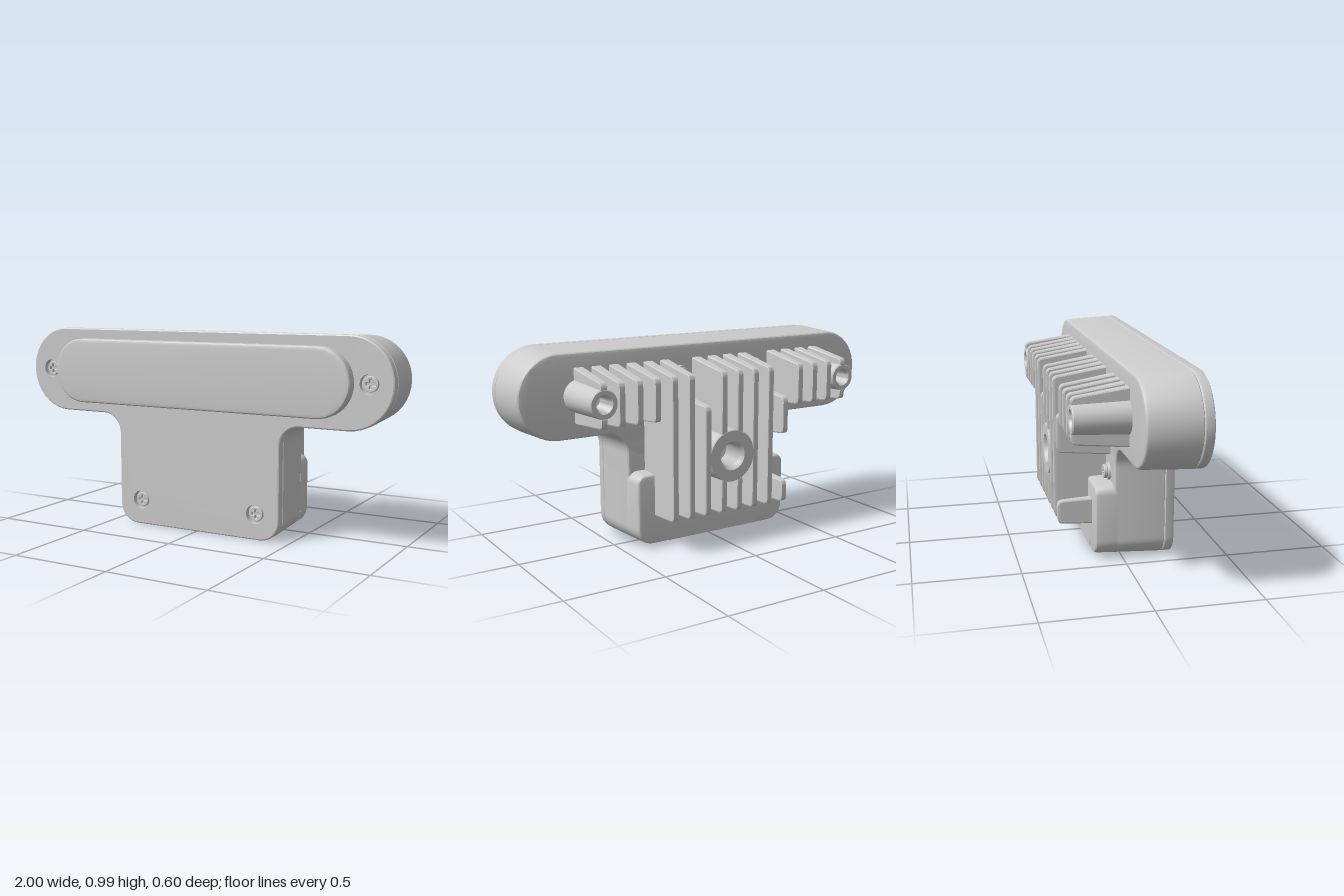
import * as THREE from 'three';
import { toCreasedNormals } from 'three/addons/utils/BufferGeometryUtils.js';

const PI = Math.PI;
const material = new THREE.MeshStandardMaterial({ color: 0xcccccc });
const twoSided = new THREE.MeshStandardMaterial({ color: 0xcccccc, side: THREE.DoubleSide });

function add(parent, name, geometry, x = 0, y = 0, z = 0, mat = material) {
  const mesh = new THREE.Mesh(geometry, mat);
  mesh.name = name;
  mesh.position.set(x, y, z);
  parent.add(mesh);
  return mesh;
}

// points along an arc, clockwise or counter-clockwise
function arc(cx, cy, r, a0, a1, n = 12) {
  return Array.from({ length: n + 1 }, (_, i) => {
    const a = a0 + (a1 - a0) * i / n;
    return new THREE.Vector2(cx + r * Math.cos(a), cy + r * Math.sin(a));
  });
}

// outlines, each inset by d
const pill = (cx, r) => d => [
  ...arc(cx, 0.775, r - d, -PI / 2, PI / 2, 20),
  ...arc(-cx, 0.775, r - d, PI / 2, 1.5 * PI, 20)];

const notch = d => [[-0.27, d], [-0.27, 0.08], [0.27, 0.08], [0.27, d]].map(p => new THREE.Vector2(...p));

const tee = withNotch => d => [
  ...arc(-0.35, 0.1, 0.1 - d, PI, 1.5 * PI),
  ...(withNotch ? notch(d) : []),
  ...arc(0.35, 0.1, 0.1 - d, -PI / 2, 0),
  ...arc(0.55, 0.46, 0.1 + d, PI, PI / 2),
  ...arc(0.785, 0.775, 0.215 - d, -PI / 2, PI / 2, 20),
  ...arc(-0.785, 0.775, 0.215 - d, PI / 2, 1.5 * PI, 20),
  ...arc(-0.55, 0.46, 0.1 + d, PI / 2, 0)];

const stepOutline = d => [
  ...arc(-0.35, 0.1, 0.1 - d, PI, 1.5 * PI),
  ...notch(d),
  ...arc(0.35, 0.1, 0.1 - d, -PI / 2, 0),
  ...arc(0.39, 0.325, 0.06 - d, 0, PI / 2, 6),
  ...arc(-0.39, 0.325, 0.06 - d, PI / 2, PI, 6)];

// skin an outline through levels [z, inset], front to back, with capped ends
function loft(outline, levels, holes = []) {
  const pos = [];
  const put = (p, z) => pos.push(p.x, p.y, z);
  const rings = levels.map(([, d]) => outline(d));
  for (let k = 0; k < levels.length - 1; k++) {
    const [za, zb] = [levels[k][0], levels[k + 1][0]];
    const [a, b] = [rings[k], rings[k + 1]];
    for (let i = 0; i < a.length; i++) {
      const j = (i + 1) % a.length;
      put(a[i], za); put(b[i], zb); put(b[j], zb);
      put(a[i], za); put(b[j], zb); put(a[j], za);
    }
  }
  const cap = (ring, z, cuts, flip) => {
    const all = [ring, ...cuts].flat();
    for (const f of THREE.ShapeUtils.triangulateShape(ring, cuts)) {
      const [p, q, r] = f.map(i => all[i]);
      const ccw = (q.x - p.x) * (r.y - p.y) - (q.y - p.y) * (r.x - p.x) > 0;
      (ccw !== flip ? [p, q, r] : [p, r, q]).forEach(v => put(v, z));
    }
  };
  cap(rings[0], levels[0][0], holes, false);
  cap(rings.at(-1), levels.at(-1)[0], [], true);
  const g = new THREE.BufferGeometry();
  g.setAttribute('position', new THREE.Float32BufferAttribute(pos, 3));
  return toCreasedNormals(g, 0.4);
}

// cooling fin: rounded tip corners, thinner towards the tip
function fin(parent, x, y0, y1, d0 = 0.02, d1 = 0.04, name = 'coolingFin') {
  const s = new THREE.Shape(), tip = 0.3, r = 0.03;
  s.moveTo(0.03, y0);
  s.lineTo(tip - r, y0 + d0);
  s.quadraticCurveTo(tip, y0 + d0, tip, y0 + d0 + r);
  s.lineTo(tip, y1 - d1 - r);
  s.quadraticCurveTo(tip, y1 - d1, tip - r, y1 - d1);
  s.lineTo(0.03, y1);
  const g = new THREE.ExtrudeGeometry(s, {
    depth: 0.84, curveSegments: 5, bevelEnabled: true, bevelSize: 0.006,
    bevelOffset: -0.006, bevelThickness: 0.08, bevelSegments: 1 });
  g.translate(0, 0, -0.42);
  const p = g.attributes.position;
  for (let i = 0; i < p.count; i++) {
    const t = (p.getX(i) - 0.03) / 0.27;
    p.setZ(i, p.getZ(i) * (0.052 - 0.02 * t));
  }
  g.rotateY(PI / 2);
  add(parent, name, toCreasedNormals(g, 0.4), x);
}

// round post with a threaded blind hole
function threadedBoss(parent, name, x, y, rRoot, rTip, hole, depth) {
  const pts = [[rRoot, 0.03], [rTip, 0.295], [rTip - 0.005, 0.3], [hole + 0.006, 0.3], [hole, 0.294]];
  const turns = 6, pitch = (depth - 0.01) / turns;
  for (let i = 0; i < turns; i++) {
    pts.push([hole * 0.84, 0.29 - (i + 0.5) * pitch], [hole, 0.29 - (i + 1) * pitch]);
  }
  pts.push([0, 0.29 - depth]);
  const g = new THREE.LatheGeometry(pts.map(p => new THREE.Vector2(...p)), 32);
  g.rotateX(-PI / 2);
  add(parent, name, toCreasedNormals(g, 0.5), x, y, 0);
}

// screw head with a cross recess, facing +z
function screw(parent, name, r, x, y, z, back = false) {
  const group = new THREE.Group();
  group.name = name;
  const head = new THREE.Shape(arc(0, 0, r, 0, 2 * PI, 24).slice(0, -1));
  const a = r * 0.62, b = r * 0.17;
  head.holes.push(new THREE.Path([[a, b], [b, b], [b, a], [-b, a], [-b, b], [-a, b], [-a, -b], [-b, -b],
    [-b, -a], [b, -a], [b, -b], [a, -b]].map(p => new THREE.Vector2(...p))));
  add(group, 'screwHead', new THREE.ExtrudeGeometry(head, {
    depth: 0.012, bevelEnabled: true, bevelSize: 0.003, bevelThickness: 0.003, bevelOffset: -0.003, bevelSegments: 2 }));
  add(group, 'recessFloor', new THREE.CircleGeometry(r * 0.8, 24), 0, 0, -0.001);
  group.position.set(x, y, z);
  if (back) group.rotation.y = PI;
  parent.add(group);
}

export function createModel() {
  const model = new THREE.Group();
  model.name = 'finnedHousing';

  // front plate with counterbored screws, and the raised window
  const spots = [[-0.885, 0.775], [0.885, 0.775], [-0.325, 0.125], [0.325, 0.125]];
  add(model, 'frontPlate', loft(tee(false), [[0.245, 0.006], [0.242, 0.001], [0.239, 0], [0.204, 0], [0.2, 0.004]],
    spots.map(([x, y]) => arc(x, y, 0.047, 0, 2 * PI, 24).slice(0, -1))));
  for (const [x, y] of spots) {
    const wall = new THREE.CylinderGeometry(0.047, 0.047, 0.03, 24, 1, true).rotateX(PI / 2);
    add(model, 'counterboreWall', wall, x, y, 0.23, twoSided);
    add(model, 'counterboreFloor', new THREE.CircleGeometry(0.047, 24), x, y, 0.216);
    screw(model, 'frontScrew', 0.036, x, y, 0.221);
  }
  add(model, 'frontWindow', loft(pill(0.65, 0.163), [[0.3, 0.014], [0.298, 0.006], [0.293, 0.001], [0.288, 0], [0.24, 0]]));

  // drafted rear shell and its thicker foot
  add(model, 'rearShell', loft(tee(true), [[0.198, 0.004], [0.195, 0], [-0.028, 0.011], [-0.038, 0.014], [-0.043, 0.019], [-0.045, 0.026]]));
  add(model, 'rearFoot', loft(stepOutline, [[-0.03, 0.011], [-0.118, 0.016], [-0.128, 0.019], [-0.133, 0.024], [-0.135, 0.031]]));

  // recessed connector panel underneath
  add(model, 'panelFrontRim', new THREE.BoxGeometry(0.54, 0.08, 0.03), 0, 0.042, 0.183);
  add(model, 'panelBackRim', new THREE.BoxGeometry(0.54, 0.07, 0.05), 0, 0.055, -0.1095);
  const panel = new THREE.Shape([[-0.27, -0.085], [0.27, -0.085], [0.27, 0.17], [-0.27, 0.17]].map(p => new THREE.Vector2(...p)));
  panel.holes.push(
    new THREE.Path([...arc(0.175, 0.045, 0.026, -PI / 2, PI / 2), ...arc(0.065, 0.045, 0.026, PI / 2, 1.5 * PI)]),
    new THREE.Path(arc(-0.12, 0.045, 0.06, 0, 2 * PI, 28).slice(0, -1)));
  add(model, 'connectorPanel', new THREE.ExtrudeGeometry(panel, { depth: 0.03, bevelEnabled: false }).rotateX(PI / 2), 0, 0.052);
  add(model, 'slotTongue', new THREE.BoxGeometry(0.1, 0.045, 0.014), 0.12, 0.057, 0.045);
  add(model, 'jackPin', new THREE.CylinderGeometry(0.02, 0.02, 0.045, 16), -0.12, 0.057, 0.045);

  // cooling fins at an even pitch
  const at = k => (k + 0.5) * 0.0915;
  for (const side of [-1, 1]) {
    for (const k of [4, 5, 6]) fin(model, side * at(k), 0.64, 0.91);
    fin(model, side * at(0), 0.545, 0.91, 0);
    fin(model, side * at(0), 0.155, 0.355, 0.01, 0);
    // corner mount with ribs above and below
    threadedBoss(model, 'cornerBoss', side * 0.685, 0.775, 0.08, 0.068, 0.038, 0.12);
    fin(model, side * 0.685, 0.82, 0.91, 0, 0.035, 'bossRib');
    fin(model, side * 0.685, 0.64, 0.73, 0.02, 0, 'bossRib');
  }
  for (const x of [at(3), at(2), -at(1), -at(2)]) fin(model, x, 0.155, 0.91, 0.01);
  fin(model, at(1), 0.155, 0.73, 0.01, 0.02);
  fin(model, -at(3), 0.5, 0.73, 0.02, 0.02);
  fin(model, -at(3), 0.155, 0.29, 0.01, 0.01);

  // central mounting socket
  threadedBoss(model, 'mountSocket', 0, 0.45, 0.138, 0.13, 0.066, 0.15);

  // rear screws in the gaps between fins
  for (const [x, y] of [[0.135, 0.83], [-0.315, 0.83], [-0.315, 0.41]]) {
    const seat = new THREE.CylinderGeometry(0.042, 0.046, 0.02, 24).rotateX(-PI / 2);
    add(model, 'screwSeat', seat, x, y, -0.047);
    screw(model, 'rearScrew', 0.034, x, y, -0.059, true);
  }
  return model;
}
